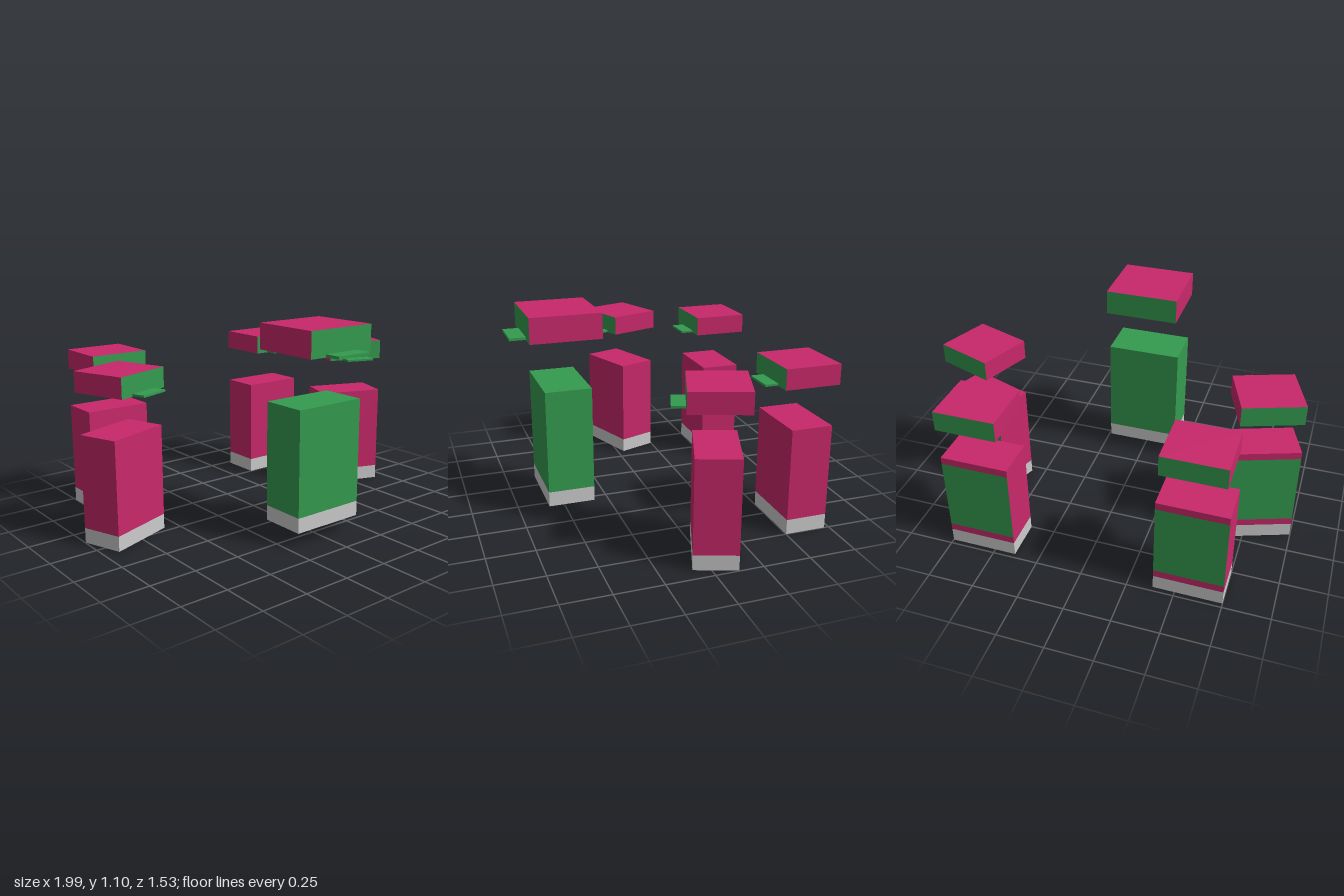
import * as THREE from 'three';

const material = (color) => new THREE.MeshStandardMaterial({ color, side: THREE.DoubleSide });
const PURPLE = material(0xc8286a);
const GREEN = material(0x349b4f);
const GREY = material(0xcccccc);

function panel(name, w, h, mat, position, rotX, rotY) {
  const mesh = new THREE.Mesh(new THREE.PlaneGeometry(w, h), mat);
  mesh.name = name;
  mesh.position.set(...position);
  mesh.rotation.set(rotX, rotY, 0);
  return mesh;
}

// Four upright panels around a rectangle, open above and below
function walls(name, w, d, y0, y1, side, front = side, back = side) {
  const g = new THREE.Group();
  g.name = name;
  const h = y1 - y0;
  const y = (y0 + y1) / 2;
  g.add(
    panel(name + 'Front', w, h, front, [0, y, d / 2], 0, 0),
    panel(name + 'Back', w, h, back, [0, y, -d / 2], 0, Math.PI),
    panel(name + 'Left', d, h, side, [w / 2, y, 0], 0, Math.PI / 2),
    panel(name + 'Right', d, h, side, [-w / 2, y, 0], 0, -Math.PI / 2),
  );
  return g;
}

const lid = (name, w, d, y, mat) => panel(name, w, d, mat, [0, y, 0], -Math.PI / 2, 0);

// Floating cap: hollow box, open below, with a thin visor in front
function cap(w, d, y0, y1, visorW, visorD, visorH) {
  const g = new THREE.Group();
  g.name = 'cap';
  const visor = new THREE.Mesh(new THREE.BoxGeometry(visorW, visorH, visorD), GREEN);
  visor.name = 'visor';
  visor.position.set(0, y0 + visorH / 2 + 0.002, (d + visorD) / 2);
  g.add(walls('capWall', w, d, y0, y1, PURPLE, GREEN, GREEN), lid('capTop', w, d, y1, PURPLE), visor);
  return g;
}

// Small figure: purple body with a green back panel and a grey base band
function smallFigure(name, x, z, turn) {
  const g = new THREE.Group();
  g.name = name;
  const w = 0.365, d = 0.222;
  g.add(
    walls('baseBand', w, d, 0, 0.08, GREY),
    walls('lowerBody', w, d, 0.08, 0.12, PURPLE),
    walls('middleBody', w, d, 0.12, 0.53, PURPLE, PURPLE, GREEN),
    walls('upperBody', w, d, 0.53, 0.57, PURPLE),
    lid('bodyTop', w, d, 0.57, PURPLE),
    cap(0.325, 0.3, 0.775, 0.883, 0.165, 0.07, 0.011),
  );
  g.position.set(x, 0, z);
  g.rotation.y = turn;
  return g;
}

// Tall leading figure: green body with a grey base band
function leadFigure() {
  const g = new THREE.Group();
  g.name = 'leadFigure';
  const w = 0.41, d = 0.246;
  g.add(
    walls('baseBand', w, d, 0.08, 0.16, GREY),
    walls('body', w, d, 0.16, 0.713, GREEN),
    lid('bodyTop', w, d, 0.713, GREEN),
    cap(0.4, 0.375, 0.968, 1.103, 0.208, 0.085, 0.014),
  );
  g.position.z = 0.491;
  return g;
}

export function createModel() {
  const model = new THREE.Group();
  model.name = 'figures';
  model.add(leadFigure());
  // Two mirrored pairs, the forward one turned inwards
  for (const s of [-1, 1]) {
    const label = s > 0 ? 'left' : 'right';
    model.add(
      smallFigure(label + 'MiddleFigure', s * 0.788, -0.08, -s * THREE.MathUtils.degToRad(20)),
      smallFigure(label + 'RearFigure', s * 0.567, -0.613, 0),
    );
  }
  return model;
}
